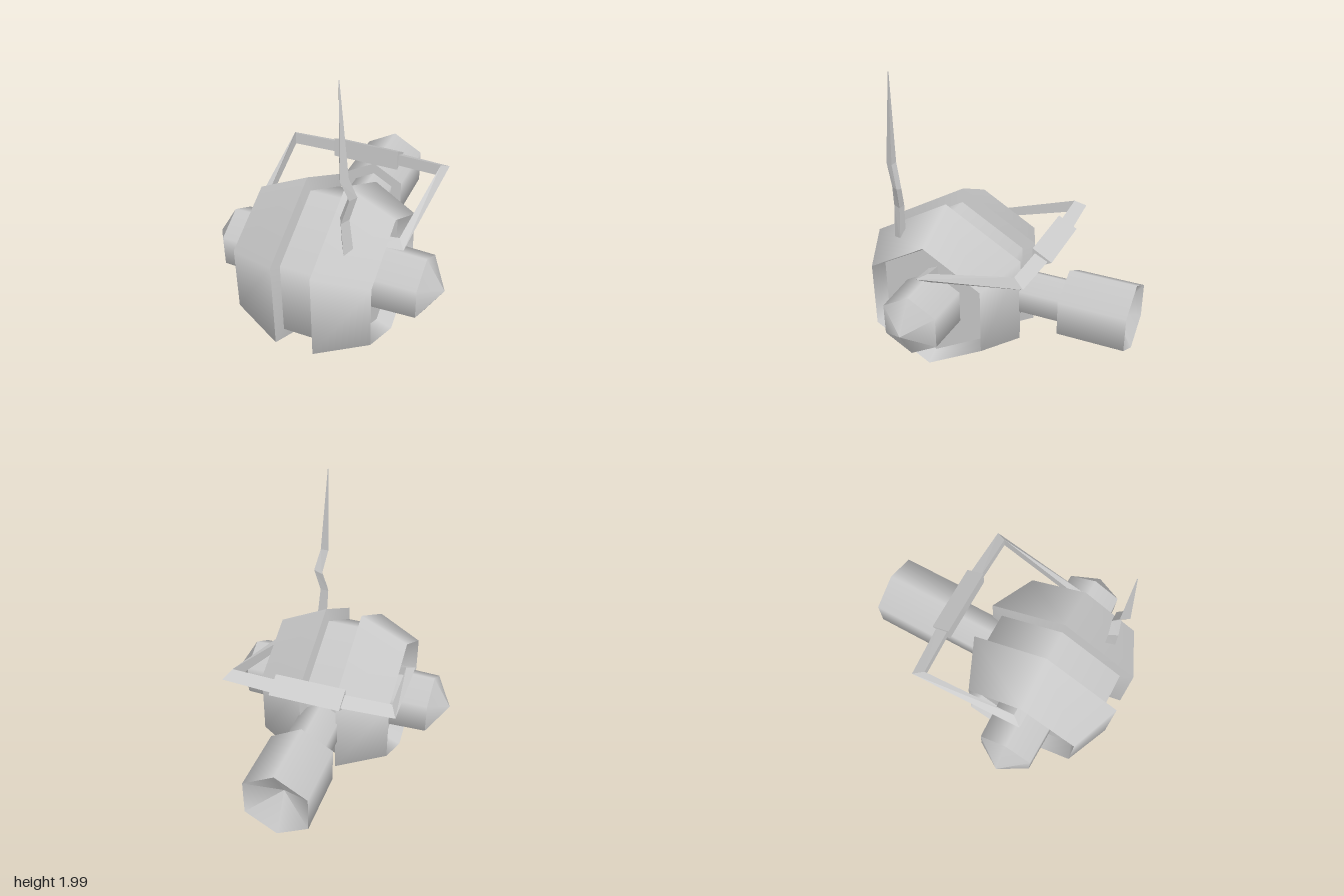
import * as THREE from 'three';
import { mergeGeometries } from 'three/addons/utils/BufferGeometryUtils.js';

const CY = 0.59, CZ = 0.35; // centre of the hexagonal body

const smooth = new THREE.MeshStandardMaterial({ color: 0xcccccc });
const flat = new THREE.MeshStandardMaterial({ color: 0xcccccc, flatShading: true });

function addMesh(parent, name, geometry, material) {
  const mesh = new THREE.Mesh(geometry, material);
  mesh.name = name;
  parent.add(mesh);
  return mesh;
}

// Six-sided turned form: smooth around, sharp between profile steps [radius, height]
function hexTurn(profile, phiStart) {
  const parts = [];
  for (let i = 0; i < profile.length - 1; i++) {
    const pair = [profile[i], profile[i + 1]].map(p => new THREE.Vector2(...p));
    parts.push(new THREE.LatheGeometry(pair, 6, phiStart));
  }
  return mergeGeometries(parts);
}

// Skin between three-cornered sections, with closed ends
function loft(rings) {
  const pos = [];
  const tri = (...corners) => corners.forEach(c => pos.push(...c));
  for (let i = 0; i < rings.length - 1; i++) {
    for (let j = 0; j < 3; j++) {
      const k = (j + 1) % 3;
      const a = rings[i][j], b = rings[i][k], c = rings[i + 1][j], d = rings[i + 1][k];
      tri(a, b, c);
      tri(b, d, c);
    }
  }
  const first = rings[0], last = rings[rings.length - 1];
  tri(first[0], first[2], first[1]);
  tri(last[0], last[1], last[2]);
  const g = new THREE.BufferGeometry();
  g.setAttribute('position', new THREE.Float32BufferAttribute(pos, 3));
  g.computeVertexNormals();
  return g;
}

export function createModel() {
  const model = new THREE.Group();
  model.name = 'model';

  // Centre drum between the two shells
  const drum = hexTurn([[0.49, -0.11], [0.49, 0.11]], Math.PI / 2).rotateZ(-Math.PI / 2);
  addMesh(model, 'centreDrum', drum, smooth).position.set(0, CY, CZ);

  // Tapered side shells with recessed faces and pointed hubs
  const shell = hexTurn([[0.48, 0.1], [0.58, 0.12], [0.43, 0.43], [0.39, 0.33], [0.21, 0.33]],
    Math.PI / 2).rotateZ(-Math.PI / 2);
  const hub = hexTurn([[0.212, 0.33], [0.203, 0.63], [0, 0.75]], Math.PI / 2).rotateZ(-Math.PI / 2);
  for (const [side, turn] of [['left', 0], ['right', Math.PI]]) {
    const group = new THREE.Group();
    group.name = side + 'Side';
    group.position.set(0, CY, CZ);
    group.rotation.y = turn;
    addMesh(group, side + 'Shell', shell, smooth);
    addMesh(group, side + 'Hub', hub, smooth);
    model.add(group);
  }

  // Rear pipe and hollow-ended nozzle
  const pipe = hexTurn([[0.15, 0.05], [0.15, 0.43]], 0).rotateX(-Math.PI / 2);
  addMesh(model, 'rearPipe', pipe, smooth).position.y = CY;
  const nozzle = hexTurn([[0, 0.43], [0.23, 0.43], [0.23, 0.855], [0, 0.72]], 0).rotateX(-Math.PI / 2);
  addMesh(model, 'rearNozzle', nozzle, smooth).position.y = CY;

  // Handle stations: inner x, z, outer x, z, height, half thickness
  const half = [
    [0.33, 0.31, 0.33, 0.375, 0.82, 0.03],
    [0.445, 0.31, 0.493, 0.375, 0.835, 0.03],
    [0.505, -0.275, 0.545, -0.345, 0.99, 0.04],
    [0.2, -0.285, 0.2, -0.365, 0.99, 0.04],
  ];
  const mirrored = half.map(([ix, iz, ox, oz, y, h]) => [-ix, iz, -ox, oz, y, h]).reverse();
  const handle = loft([...half, ...mirrored].map(([ix, iz, ox, oz, y, h]) =>
    [[ix, y + h, iz], [ox, y, oz], [ix, y - h, iz]]));
  addMesh(model, 'handle', handle, flat);

  // Three-sided grip at the back of the handle
  const grip = loft([0.22, -0.22].map(x => [[x, 1.06, -0.27], [x, 0.99, -0.39], [x, 0.925, -0.27]]));
  addMesh(model, 'handleGrip', grip, flat);

  // Kinked antenna stations: left x, right x, back z, front z, height, tilt
  const antenna = loft([
    [0.205, 0.275, 0.6, 0.66, 0.93, 0.015],
    [0.195, 0.25, 0.602, 0.657, 1.15, 0],
    [0.235, 0.29, 0.588, 0.635, 1.29, -0.01],
    [0.205, 0.258, 0.63, 0.682, 1.44, 0],
    [0.207, 0.211, 0.633, 0.637, 2.0, 0],
  ].map(([x0, x1, z0, z1, y, t]) => [[x0, y + t, z0], [(x0 + x1) / 2, y - t, z1], [x1, y - t, z0]]));
  addMesh(model, 'antenna', antenna, flat);

  return model;
}
